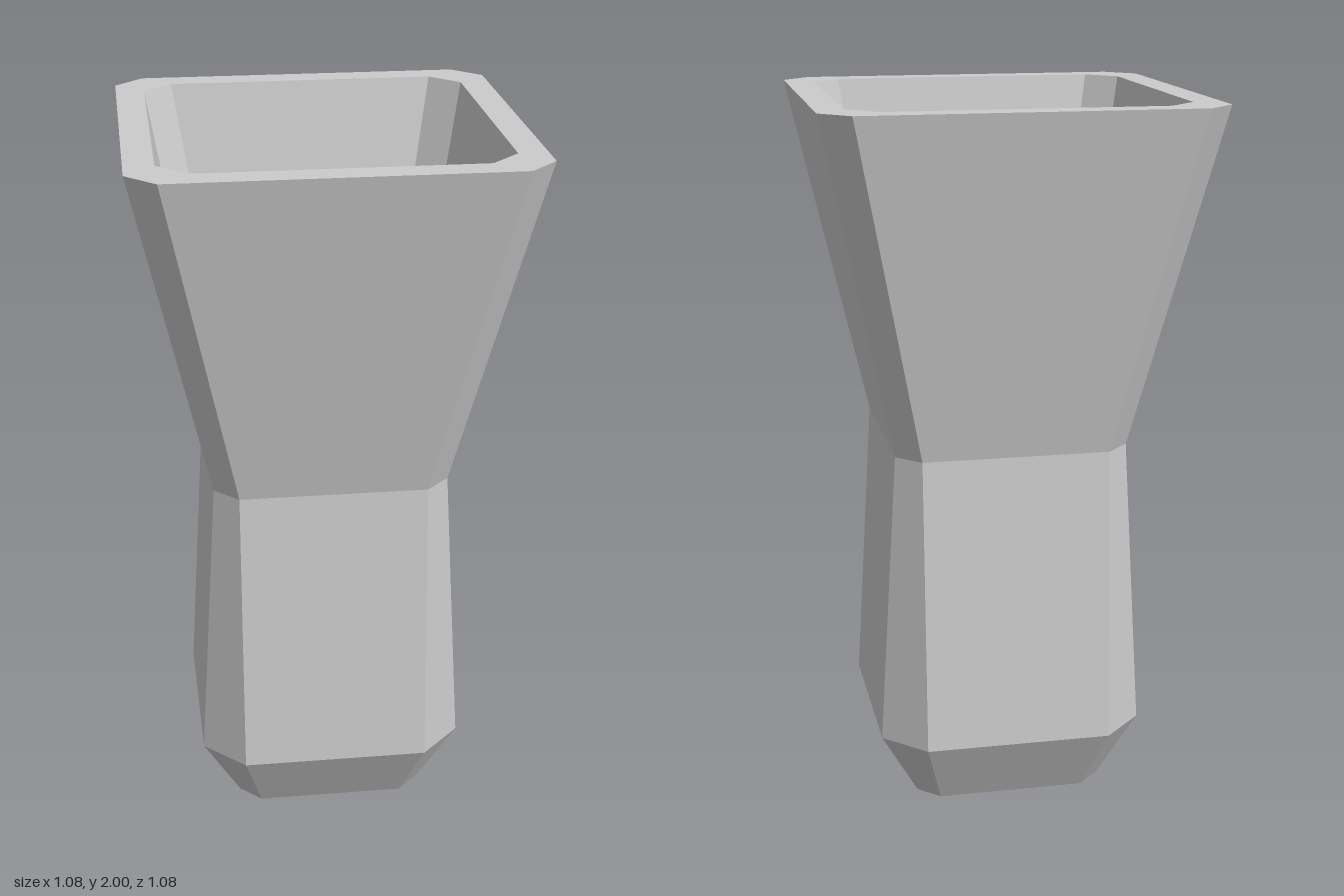
import * as THREE from 'three';

// Square ring with cut corners: h = half width, f = half length of the flat side
function ring([y, h, f]) {
  return [[f, h], [h, f], [h, -f], [f, -h], [-f, -h], [-h, -f], [-h, f], [-f, h]]
    .map(([x, z]) => new THREE.Vector3(x, y, z));
}

// Flat-shaded skin through a list of rings, optionally closed at the first or last one
function loft(sections, capFirst, capLast) {
  const rings = sections.map(ring);
  const pos = [];
  const tri = (...pts) => pts.forEach((p) => pos.push(p.x, p.y, p.z));
  for (let r = 0; r < rings.length - 1; r++) {
    for (let i = 0; i < 8; i++) {
      const j = (i + 1) % 8;
      const a = rings[r][i], b = rings[r][j], c = rings[r + 1][j], d = rings[r + 1][i];
      tri(a, b, c);
      tri(a, c, d);
    }
  }
  const first = rings[0], last = rings[rings.length - 1];
  for (let i = 1; i < 7; i++) {
    if (capFirst) tri(first[0], first[i + 1], first[i]);
    if (capLast) tri(last[0], last[i], last[i + 1]);
  }
  const geo = new THREE.BufferGeometry();
  geo.setAttribute('position', new THREE.Float32BufferAttribute(pos, 3));
  geo.computeVertexNormals();
  return geo;
}

export function createModel() {
  const group = new THREE.Group();
  group.name = 'vase';
  const material = new THREE.MeshStandardMaterial({ color: 0xcccccc, flatShading: true });
  const add = (name, geo) => {
    const mesh = new THREE.Mesh(geo, material);
    mesh.name = name;
    group.add(mesh);
  };

  const outerRim = [2, 0.538, 0.458];
  const innerRim = [2, 0.458, 0.378];

  // Outside: tapered foot, body, narrow waist, flared neck
  add('outerWall', loft([[0, 0.27, 0.21], [0.2, 0.378, 0.263], [1.04, 0.328, 0.262], outerRim], true, false));

  // Flat lip around the opening
  add('rim', loft([outerRim, innerRim], false, false));

  // Hollow inside, down to the floor
  add('innerWall', loft([innerRim, [1.04, 0.286, 0.22], [0.1, 0.242, 0.162]], false, true));

  return group;
}
